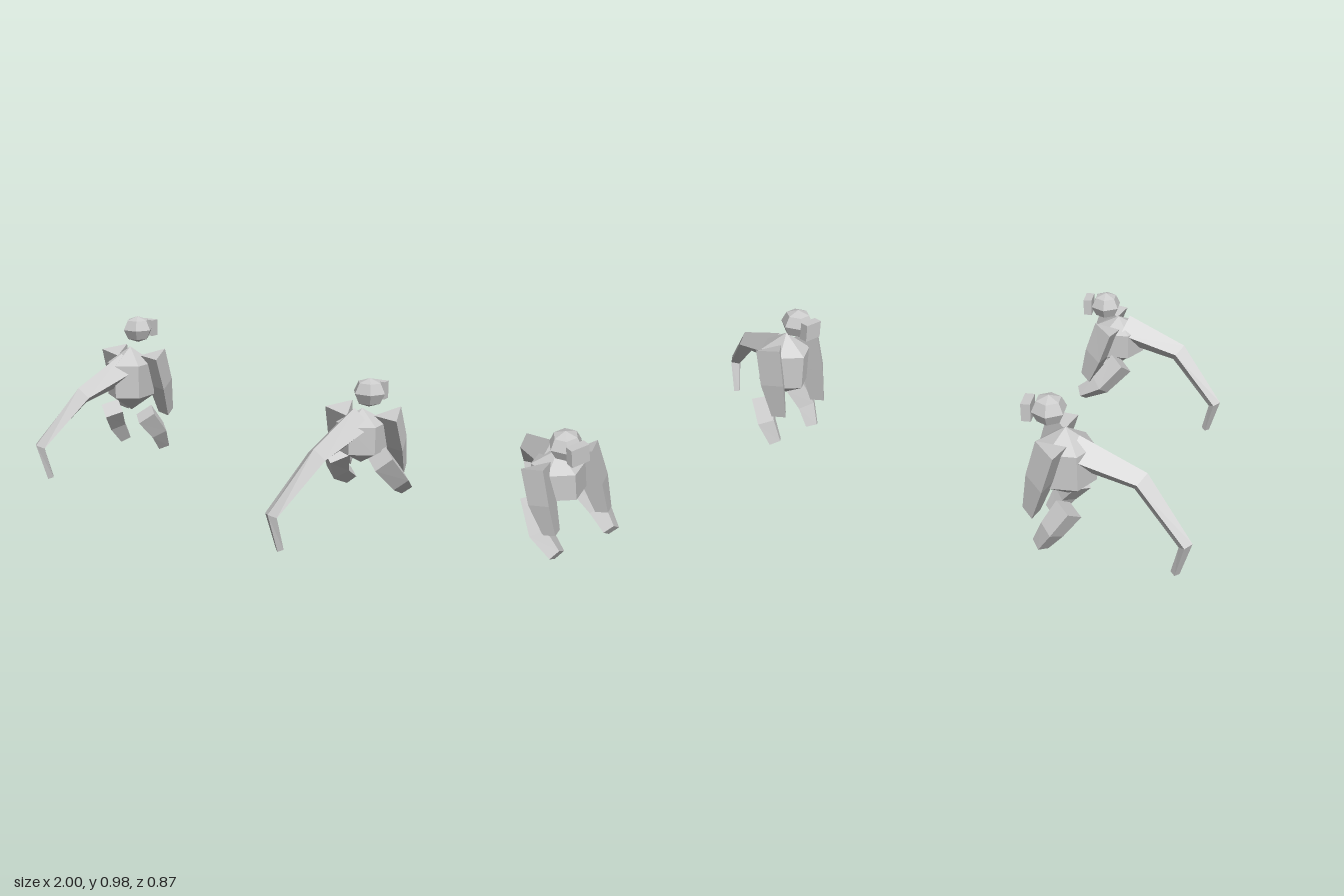
import * as THREE from 'three';

const material = new THREE.MeshStandardMaterial({ color: 0xcccccc, flatShading: true });

function addMesh(parent, name, geometry, x = 0, y = 0, z = 0) {
  const mesh = new THREE.Mesh(geometry, material);
  mesh.name = name;
  mesh.position.set(x, y, z);
  parent.add(mesh);
  return mesh;
}

// Closed faceted limb; each section is [x, y, z, radius], the first corner lies at startAngle.
function limbGeometry(sections, sides, startAngle) {
  const centres = sections.map(([x, y, z]) => new THREE.Vector3(x, y, z));
  const rings = sections.map(([, , , radius], i) => {
    const before = centres[Math.max(i - 1, 0)];
    const after = centres[Math.min(i + 1, centres.length - 1)];
    const along = after.clone().sub(before).normalize();
    const normal = along.clone().cross(new THREE.Vector3(1, 0, 0)).normalize();
    const side = normal.clone().cross(along);
    return Array.from({ length: sides }, (_, j) => {
      const a = startAngle + (j / sides) * Math.PI * 2;
      return centres[i].clone()
        .addScaledVector(side, Math.cos(a) * radius)
        .addScaledVector(normal, Math.sin(a) * radius);
    });
  });
  const points = [];
  for (let i = 0; i < rings.length - 1; i++) {
    for (let j = 0; j < sides; j++) {
      const k = (j + 1) % sides;
      const [a, b, c, d] = [rings[i][j], rings[i][k], rings[i + 1][j], rings[i + 1][k]];
      points.push(a, b, c, b, d, c);
    }
  }
  const first = rings[0], last = rings[rings.length - 1];
  for (let j = 1; j < sides - 1; j++) {
    points.push(first[0], first[j + 1], first[j], last[0], last[j], last[j + 1]);
  }
  const geometry = new THREE.BufferGeometry().setFromPoints(points);
  geometry.computeVertexNormals();
  return geometry;
}

const mirrored = (sections, s) => sections.map(([x, ...rest]) => [x * s, ...rest]);

function createFigure(pose) {
  const figure = new THREE.Group();
  figure.name = pose.name;
  figure.position.x = pose.x;

  // Head with a block behind it
  const head = addMesh(figure, 'head', new THREE.SphereGeometry(0.09, 6, 4), 0, pose.headY, -0.287);
  head.scale.y = 0.86;
  addMesh(figure, 'headBlock', new THREE.BoxGeometry(0.102, 0.094, 0.047), 0, pose.headY - 0.002, -0.389);

  // Six-sided torso with pointed ends and a corner to the front
  const torso = addMesh(figure, 'torso', new THREE.SphereGeometry(1, 6, 3, Math.PI / 2), 0, pose.torsoY, -0.21);
  torso.scale.set(0.153, pose.torsoHalf, 0.17);

  // Long jointed limb reaching forward
  const reach = [
    [-0.012, 0.572, -0.17, 0.093],
    [-0.063, 0.464, 0.163, 0.058],
    [-0.186, 0.197, 0.398, 0.036],
    [-0.161, 0.006, 0.348, 0.023],
  ].map(([x, y, ...rest]) => [x, y + pose.reachLift, ...rest]);
  addMesh(figure, 'frontLimb', limbGeometry(reach, 4, Math.PI / 2));

  // Three-sided arms, all turned the same way, and four-sided legs
  for (const [label, s] of [['left', 1], ['right', -1]]) {
    addMesh(figure, label + 'Arm', limbGeometry(mirrored(pose.arm, s), 3, Math.PI / 4));
    addMesh(figure, label + 'Leg', limbGeometry(mirrored(pose.leg, s), 4, Math.PI / 2));
  }
  return figure;
}

export function createModel() {
  const model = new THREE.Group();
  model.name = 'pairOfFigures';
  model.add(createFigure({
    name: 'raisedFigure', x: -0.773, headY: 0.901, torsoY: 0.617, torsoHalf: 0.192, reachLift: 0.114,
    arm: [
      [0.142, 0.768, -0.25, 0.088],
      [0.152, 0.58, -0.307, 0.084],
      [0.15, 0.4, -0.36, 0.052],
    ],
    leg: [
      [0.125, 0.42, -0.18, 0.075],
      [0.157, 0.31, -0.26, 0.065],
      [0.145, 0.205, -0.325, 0.045],
    ],
  }));
  model.add(createFigure({
    name: 'crouchedFigure', x: 0.751, headY: 0.715, torsoY: 0.499, torsoHalf: 0.147, reachLift: 0,
    arm: [
      [0.142, 0.622, -0.25, 0.088],
      [0.157, 0.45, -0.312, 0.084],
      [0.157, 0.3, -0.372, 0.052],
    ],
    leg: [
      [0.13, 0.398, -0.175, 0.077],
      [0.177, 0.265, -0.297, 0.066],
      [0.165, 0.196, -0.413, 0.046],
    ],
  }));
  return model;
}
